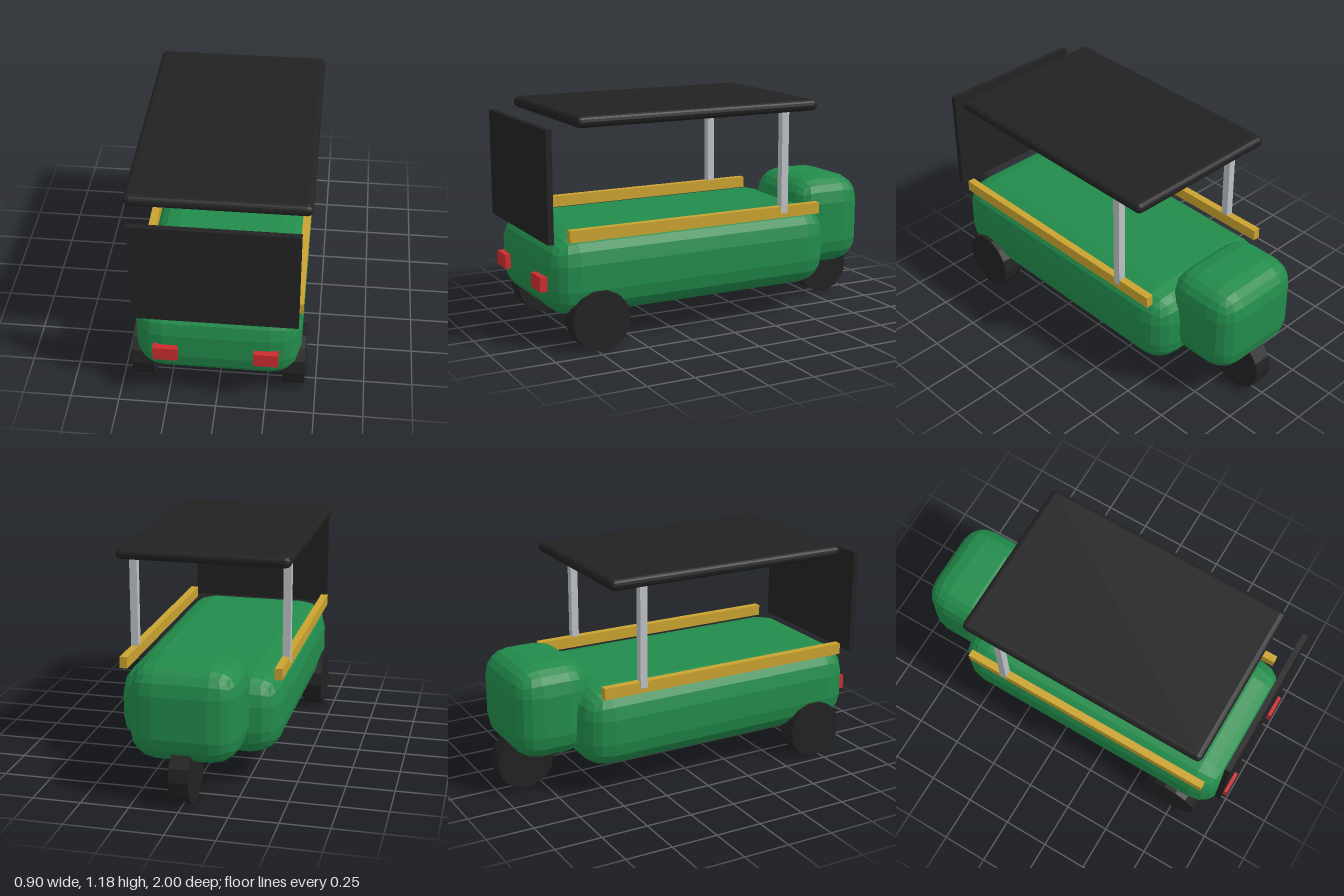
import * as THREE from 'three';
import { RoundedBoxGeometry } from 'three/addons/geometries/RoundedBoxGeometry.js';

const material = (name, color) => new THREE.MeshStandardMaterial({ name, color, flatShading: true });

export function createModel() {
  const group = new THREE.Group();
  const green = material('greenPaint', 0x228b4b);
  const black = material('blackRubber', 0x222222);
  const gold = material('goldTrim', 0xc9a22f);
  const silver = material('silverMetal', 0xbdc1c4);
  const red = material('redLamp', 0xcc2c2f);

  const add = (name, geometry, mat, x, y, z) => {
    const mesh = new THREE.Mesh(geometry, mat);
    mesh.name = name;
    mesh.position.set(x, y, z);
    group.add(mesh);
    return mesh;
  };
  const wheel = (name, width, x, z) =>
    add(name, new THREE.CylinderGeometry(0.156, 0.156, width, 14).rotateZ(Math.PI / 2), black, x, 0.153, z);

  // Rounded bodywork
  add('body', new RoundedBoxGeometry(0.84, 0.432, 1.62, 2, 0.15), green, 0, 0.373, 0.16);
  add('cab', new RoundedBoxGeometry(0.56, 0.5, 0.43, 2, 0.14), green, 0, 0.465, -0.75);

  // Canopy and upright panel
  add('roof', new RoundedBoxGeometry(0.9, 0.06, 1.37, 2, 0.029), black, 0, 1.155, 0.157);
  add('panel', new THREE.BoxGeometry(0.814, 0.562, 0.03), black, 0, 0.844, 0.973);

  // Mirrored rails, posts, lamps and wheels
  for (const [side, s] of [['left', 1], ['right', -1]]) {
    add(side + 'Rail', new THREE.BoxGeometry(0.04, 0.06, 1.44), gold, s * 0.404, 0.595, 0.16);
    add(side + 'Post', new THREE.BoxGeometry(0.04, 0.54, 0.04), silver, s * 0.405, 0.86, -0.34);
    add(side + 'Lamp', new THREE.BoxGeometry(0.124, 0.076, 0.04), red, s * 0.251, 0.343, 0.98);
    wheel(side + 'Wheel', 0.11, s * 0.387, 0.724);
  }
  wheel('centreWheel', 0.1, 0, -0.842);

  return group;
}
